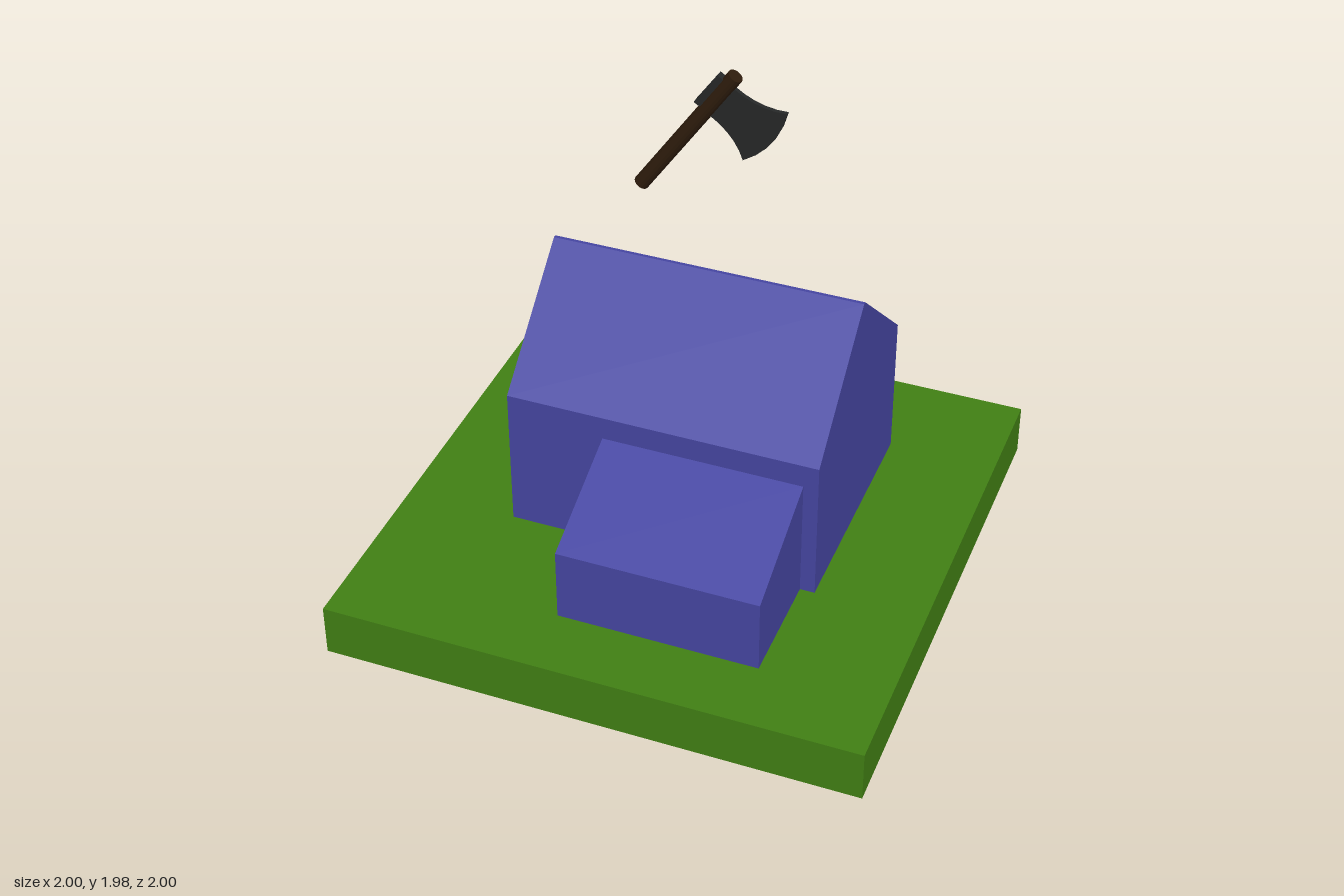
import * as THREE from 'three';

const material = (color) => new THREE.MeshStandardMaterial({ color, flatShading: true });

// Prism with a side outline given as [z, y], running from x0 to x1
function sideProfile(name, outline, x0, x1, mat) {
  const shape = new THREE.Shape(outline.map(([z, y]) => new THREE.Vector2(-z, y)));
  const geometry = new THREE.ExtrudeGeometry(shape, { depth: x1 - x0, bevelEnabled: false });
  geometry.rotateY(Math.PI / 2).translate(x0, 0, 0);
  const mesh = new THREE.Mesh(geometry, mat);
  mesh.name = name;
  return mesh;
}

// Plate with a front outline, centred on z = 0
function plate(name, shape, depth, mat) {
  const geometry = new THREE.ExtrudeGeometry(shape, { depth, bevelEnabled: false, curveSegments: 5 });
  geometry.translate(0, 0, -depth / 2);
  const mesh = new THREE.Mesh(geometry, mat);
  mesh.name = name;
  return mesh;
}

function createAxe() {
  const axe = new THREE.Group();
  axe.name = 'axe';
  const wood = material(0x2e1c0c);
  const iron = material(0x262828);

  // Handle between its two end points
  const bottom = new THREE.Vector3(-0.237, 1.468, 0);
  const top = new THREE.Vector3(0.107, 1.965, 0);
  const direction = top.clone().sub(bottom);
  const handle = new THREE.Mesh(new THREE.CylinderGeometry(0.028, 0.028, direction.length(), 16), wood);
  handle.position.copy(bottom).add(top).multiplyScalar(0.5);
  handle.quaternion.setFromUnitVectors(new THREE.Vector3(0, 1, 0), direction.normalize());
  handle.name = 'axeHandle';

  // Flared blade
  const blade = new THREE.Shape();
  blade.moveTo(0.07, 1.94);
  blade.lineTo(0.1, 1.922);
  blade.quadraticCurveTo(0.19, 1.855, 0.294, 1.861);
  blade.quadraticCurveTo(0.264, 1.715, 0.139, 1.647);
  blade.quadraticCurveTo(0.11, 1.74, 0.015, 1.8);
  blade.lineTo(-0.015, 1.82);

  // Square back of the head
  const poll = new THREE.Shape([[0.048, 1.963], [-0.037, 1.843], [0.005, 1.815], [0.09, 1.934]]
    .map(([x, y]) => new THREE.Vector2(x, y)));

  axe.add(handle, plate('axeBlade', blade, 0.016, iron), plate('axePoll', poll, 0.03, iron));
  axe.position.z = -0.15;
  return axe;
}

export function createModel() {
  const model = new THREE.Group();
  model.name = 'houseWithAxe';
  const blue = material(0x4646a2);

  // Ground slab
  const ground = new THREE.Mesh(new THREE.BoxGeometry(2, 0.2, 2), material(0x418014));
  ground.position.y = 0.1;
  ground.name = 'ground';

  // Main house with a narrow flat ridge
  const house = sideProfile('house',
    [[0.3, 0.2], [-0.61, 0.2], [-0.61, 0.76], [-0.163, 1.157], [-0.15, 1.157], [0.3, 0.76]],
    -0.58, 0.59, blue);

  // Lean-to on the front
  const leanTo = sideProfile('leanTo',
    [[0.735, 0.2], [0.3, 0.2], [0.3, 0.67], [0.735, 0.485]],
    -0.215, 0.535, blue);

  model.add(ground, house, leanTo, createAxe());
  return model;
}
